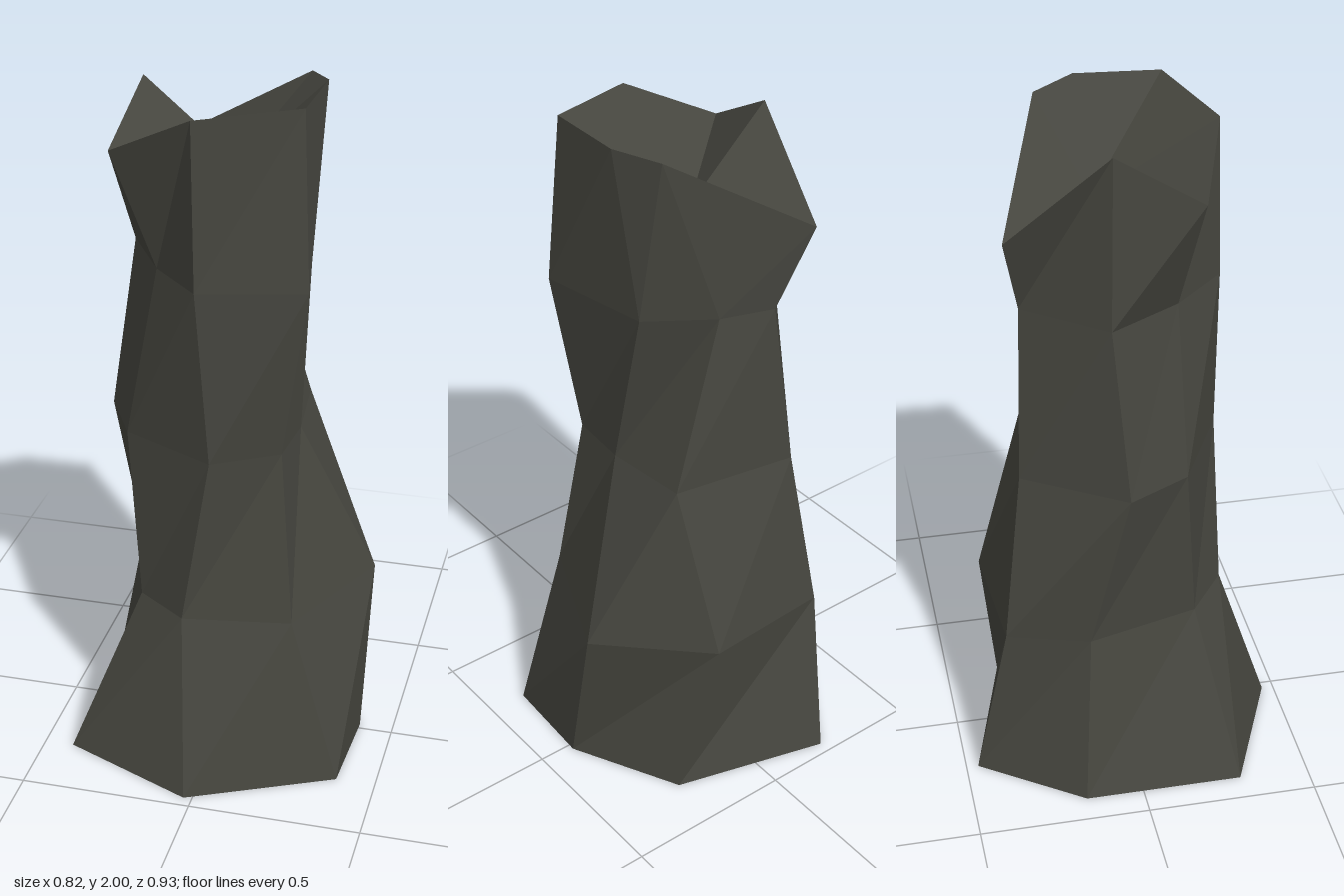
import * as THREE from 'three';

// Horizontal cross-sections, seven [x, z] corners each, running front-left -> front -> right -> back -> left
const rings = [
  { y: 0.0, pts: [[-0.415, 0.295], [-0.025, 0.465], [0.385, 0.27], [0.4, -0.02], [0.24, -0.34], [-0.21, -0.465], [-0.415, -0.17]] },
  { y: 0.5, pts: [[-0.22, 0.19], [-0.07, 0.3], [0.24, 0.25], [0.41, -0.13], [0.14, -0.395], [-0.24, -0.37], [-0.31, -0.135]] },
  { y: 1.0, pts: [[-0.265, 0.15], [0.01, 0.29], [0.19, 0.18], [0.205, 0], [0.18, -0.25], [-0.18, -0.31], [-0.36, -0.03]] },
  { y: 1.5, pts: [[-0.175, 0.135], [-0.03, 0.285], [0.265, 0.21], [0.205, -0.12], [0.03, -0.24], [-0.12, -0.29], [-0.295, -0.07]] },
  { y: 2.0, pts: [[-0.29, 0.18], [-0.04, 0.27], [0.24, 0.175], [0.25, -0.07], [0.18, -0.19], [-0.21, -0.34], [-0.26, -0.06]] },
];
// The broken top rim is uneven, with a sunken middle
const rimHeights = [1.84, 1.97, 1.995, 2.0, 1.985, 1.74, 1.98];
const topCentre = [0, 1.755, -0.07];
const bottomCentre = [0, 0, 0];

function createPillarGeometry() {
  const sides = 7, top = rings.length - 1;
  const corner = (r, i) => {
    const k = i % sides, [x, z] = rings[r].pts[k];
    return [x, r === top ? rimHeights[k] : rings[r].y, z];
  };
  const positions = [];
  const triangle = (a, b, c) => positions.push(...a, ...b, ...c);

  for (let i = 0; i < sides; i++) {
    // Twisted side panels
    for (let r = 0; r < top; r++) {
      const a = corner(r, i), b = corner(r, i + 1);
      const c = corner(r + 1, i + 1), d = corner(r + 1, i);
      triangle(a, b, c);
      triangle(a, c, d);
    }
    // Sunken top and flat base
    triangle(topCentre, corner(top, i), corner(top, i + 1));
    triangle(bottomCentre, corner(0, i + 1), corner(0, i));
  }

  const geometry = new THREE.BufferGeometry();
  geometry.setAttribute('position', new THREE.Float32BufferAttribute(positions, 3));
  geometry.computeVertexNormals();
  return geometry;
}

export function createModel() {
  const group = new THREE.Group();
  group.name = 'rockPillar';

  const stone = new THREE.MeshStandardMaterial({ color: 0x46463f });
  stone.name = 'dark stone';
  stone.flatShading = true;

  const pillar = new THREE.Mesh(createPillarGeometry(), stone);
  pillar.name = 'pillar';
  group.add(pillar);
  return group;
}
